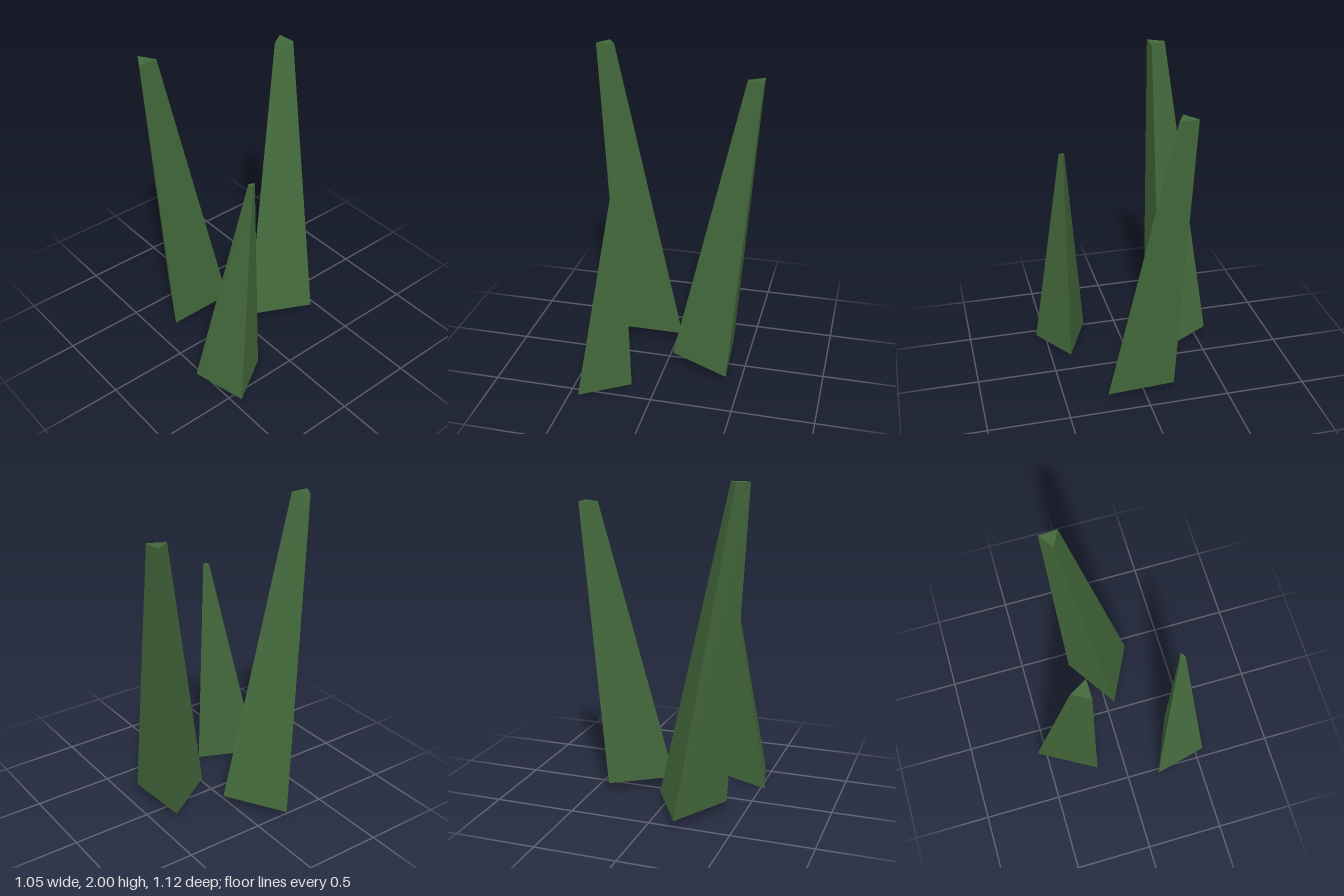
import * as THREE from 'three';

// Each blade is a leaning three-sided spike; corners are [x, z], counter-clockwise from above
const BLADES = [
  { name: 'tallBackBlade', y0: 0.065, y1: 2.0,
    base: [[-0.39, -0.19], [0.04, -0.19], [-0.177, -0.56]],
    tip: [[-0.515, -0.232], [-0.4, -0.232], [-0.457, -0.33]] },
  { name: 'leftBlade', y0: 0.065, y1: 1.85,
    base: [[0.035, 0.055], [0.417, 0.246], [0.39, -0.18]],
    tip: [[0.424, -0.186], [0.526, -0.135], [0.52, -0.249]] },
  { name: 'shortFrontBlade', y0: 0, y1: 1.412,
    base: [[-0.528, 0.21], [-0.446, 0.557], [-0.155, 0.37]],
    tip: [[-0.235, 0.357], [-0.232, 0.392], [-0.2, 0.372]] },
];

// Builds a closed frustum with flat faces from its base and tip triangles
function bladeGeometry({ base, tip, y0, y1 }) {
  const lower = base.map(([x, z]) => [x, y0, z]);
  const upper = tip.map(([x, z]) => [x, y1, z]);
  const positions = [];
  const face = (a, b, c) => positions.push(...a, ...b, ...c);
  for (let i = 0; i < 3; i++) {
    const j = (i + 1) % 3;
    face(lower[i], lower[j], upper[j]);
    face(lower[i], upper[j], upper[i]);
  }
  face(upper[0], upper[1], upper[2]);
  face(lower[2], lower[1], lower[0]);

  const geometry = new THREE.BufferGeometry();
  geometry.setAttribute('position', new THREE.Float32BufferAttribute(positions, 3));
  geometry.computeVertexNormals();
  return geometry;
}

export function createModel() {
  const group = new THREE.Group();
  group.name = 'grassTuft';
  const green = new THREE.MeshStandardMaterial({ color: 0x43693b });
  green.name = 'grass green';

  for (const blade of BLADES) {
    const mesh = new THREE.Mesh(bladeGeometry(blade), green);
    mesh.name = blade.name;
    group.add(mesh);
  }
  return group;
}
